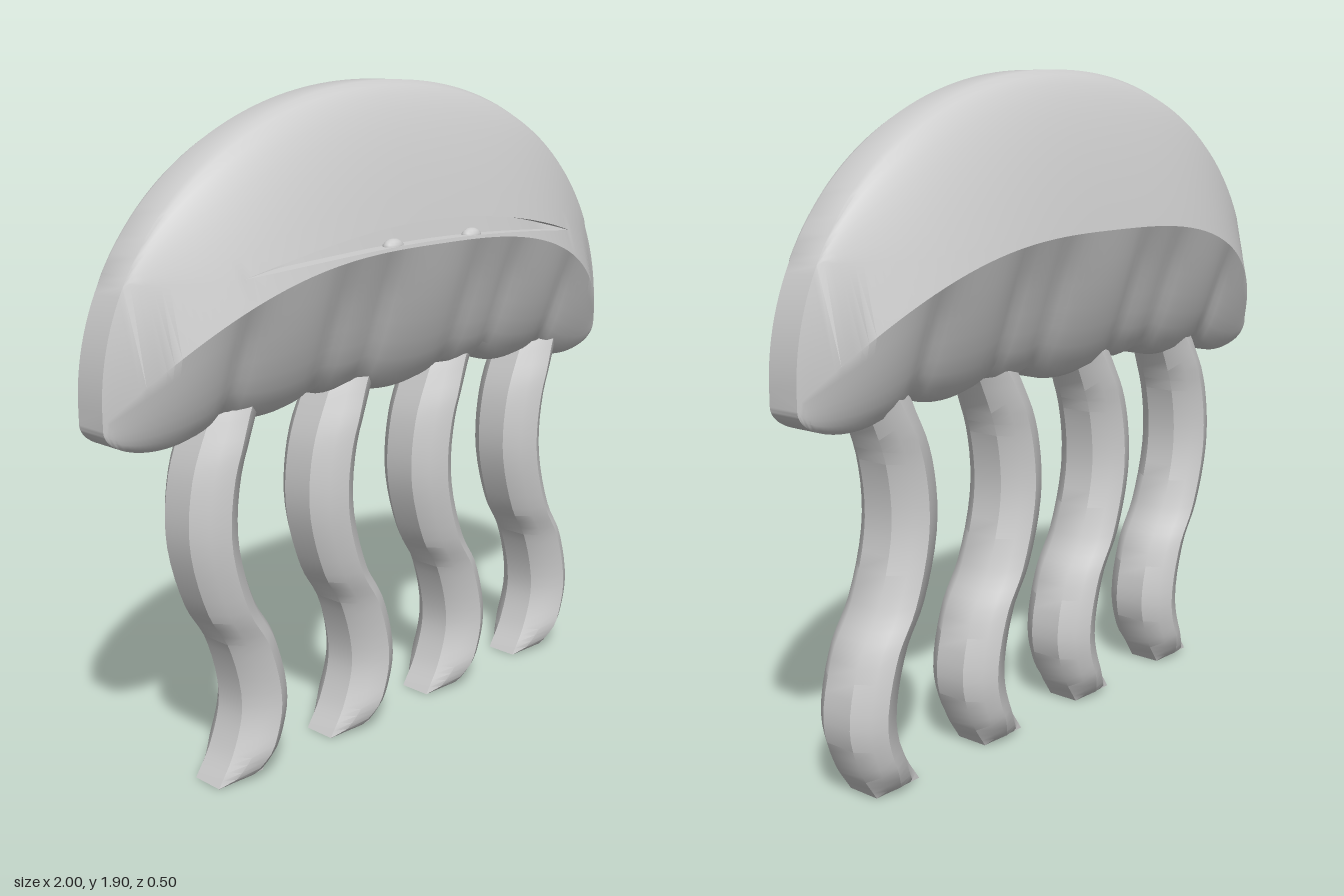
import * as THREE from 'three';
import { toCreasedNormals } from 'three/addons/utils/BufferGeometryUtils.js';

const lerp = THREE.MathUtils.lerp;
const clamp = THREE.MathUtils.clamp;

// Skin a list of closed rings (counter-clockwise seen from the end) and cap both ends
function loft(rings, crease) {
  const n = rings[0].length;
  const index = [];
  for (let r = 0; r < rings.length - 1; r++) {
    for (let i = 0; i < n; i++) {
      const j = (i + 1) % n;
      const a = r * n + i, b = r * n + j, c = a + n, d = b + n;
      index.push(a, b, d, a, d, c);
    }
  }
  const last = (rings.length - 1) * n;
  for (let i = 1; i < n - 1; i++) {
    index.push(0, i + 1, i, last, last + i, last + i + 1);
  }
  const geo = new THREE.BufferGeometry();
  geo.setAttribute('position', new THREE.Float32BufferAttribute(rings.flat(2), 3));
  geo.setIndex(index);
  return toCreasedNormals(geo, crease);
}

// Bell outline: domed top, scalloped hem, and the ridge of greatest depth
const RIM = 0.05;
const cusps = [-1, -0.65, -0.34, -0.17, 0.18, 0.36, 0.65, 1];
const topY = (x) => 1.13 + 0.77 * Math.sqrt(Math.max(0, 1 - Math.abs(x) ** 2.1));
const ridgeY = (x) => 1.1 + 0.365 * (1 - Math.abs(x) ** 3);
const ridgeZ = (x) => RIM + 0.2 * (1 - x ** 4);

function lobe(x) {
  let k = 0;
  while (k < cusps.length - 2 && x > cusps[k + 1]) k++;
  const t = (x - cusps[k]) / (cusps[k + 1] - cusps[k]);
  const size = Math.min(1, (cusps[k + 1] - cusps[k]) / 0.33);
  return size * Math.sqrt(Math.max(0, 4 * t * (1 - t)));
}
const hemY = (x) => 1.085 - (Math.abs(x) > 0.65 ? 0.08 : 0.055) * lobe(x);

// Depth of the upper dome at a height
function domeZ(x, y) {
  const u = clamp((topY(x) - y) / (topY(x) - ridgeY(x)), 0, 1);
  return RIM + (ridgeZ(x) - RIM) * u ** 0.6;
}

// One side of the bell from crown to hem, as [y, z]; the front carries the mouth slot
function bellSide(x, slot) {
  const T = topY(x), R = ridgeY(x), B = hemY(x), Z = ridgeZ(x);
  const m = Math.max(0, 1 - (x / 0.66) ** 2);
  const upper = clamp(1.435 + 0.095 * m, R, T);
  const lower = clamp(1.435 + 0.04 * m, R, T);
  const pts = [];
  for (let i = 0; i <= 8; i++) {
    const y = lerp(T, upper, (i / 8) ** 1.6);
    pts.push([y, domeZ(x, y)]);
  }
  const cut = slot ? 0.045 * Math.min(1, m * 3) : 0;
  pts.push([upper, domeZ(x, upper) - cut]);
  pts.push([lower, domeZ(x, lower) - cut]);
  pts.push([lower, domeZ(x, lower)]);
  pts.push([R, Z]);
  for (let i = 1; i <= 8; i++) {
    const v = 1 - (1 - i / 8) ** 1.5;
    const pleat = 1 - 0.16 * (1 - lobe(x)) * Math.sin(Math.PI * v);
    pts.push([lerp(R, B, v), RIM + (Z - RIM) * (1 - v) ** 0.55 * pleat]);
  }
  return pts;
}

function bellGeometry() {
  const rings = [];
  const N = 96;
  for (let i = 0; i <= N; i++) {
    const x = i === 0 ? -1 : i === N ? 1 : -Math.cos((Math.PI * i) / N);
    const front = bellSide(x, true).map(([y, z]) => [x, y, z]);
    const back = bellSide(x, false).map(([y, z]) => [x, y, -z]).reverse();
    rings.push([...front, ...back]);
  }
  return loft(rings, 0.5);
}

// Wavy tentacle with flat sides and rounded front and back
function tentacleGeometry() {
  const path = new THREE.CatmullRomCurve3([
    [-0.59, 0], [-0.535, 0.09], [-0.5, 0.22], [-0.54, 0.4], [-0.61, 0.52],
    [-0.665, 0.72], [-0.65, 0.9], [-0.595, 1.04], [-0.57, 1.09],
  ].map(([x, y]) => new THREE.Vector3(x, y, 0)));
  const half = [[0.08, 0.05], [0.048, 0.095], [0.008, 0.118], [-0.045, 0.095], [-0.08, 0.05]];
  const section = [
    ...half.map(([x, z]) => [x, -z]),
    ...half.map(([x, z]) => [x, z]).reverse(),
  ];
  const rings = [];
  for (let i = 0; i <= 36; i++) {
    const p = path.getPoint(i / 36);
    // the tip narrows to a wedge, the top tucks into the bell
    const full = Math.min(1, Math.sqrt(p.y / 0.09), 0.75 + (1.1 - p.y) * 2);
    rings.push(section.map(([x, z]) => {
      const extra = Math.max(0, Math.abs(z) - RIM) * full;
      return [p.x + x, p.y, Math.sign(z) * (RIM + extra)];
    }));
  }
  return loft(rings, 0.6);
}

export function createModel() {
  const group = new THREE.Group();
  const grey = new THREE.MeshStandardMaterial({ color: 0xcccccc });
  grey.name = 'light grey';

  const add = (name, geo) => {
    const mesh = new THREE.Mesh(geo, grey);
    mesh.name = name;
    group.add(mesh);
    return mesh;
  };

  add('bell', bellGeometry());

  // Small nubs on the lower lip of the mouth slot
  for (const side of [-1, 1]) {
    const nub = add('mouthNub', new THREE.SphereGeometry(1, 12, 8));
    nub.scale.set(0.035, 0.024, 0.025);
    nub.position.set(side * 0.16, 1.468, 0.222);
  }

  // Four identical tentacles
  const tentacle = tentacleGeometry();
  [0, 0.43, 0.85, 1.28].forEach((dx) => {
    add('tentacle', tentacle).position.x = dx;
  });

  return group;
}
